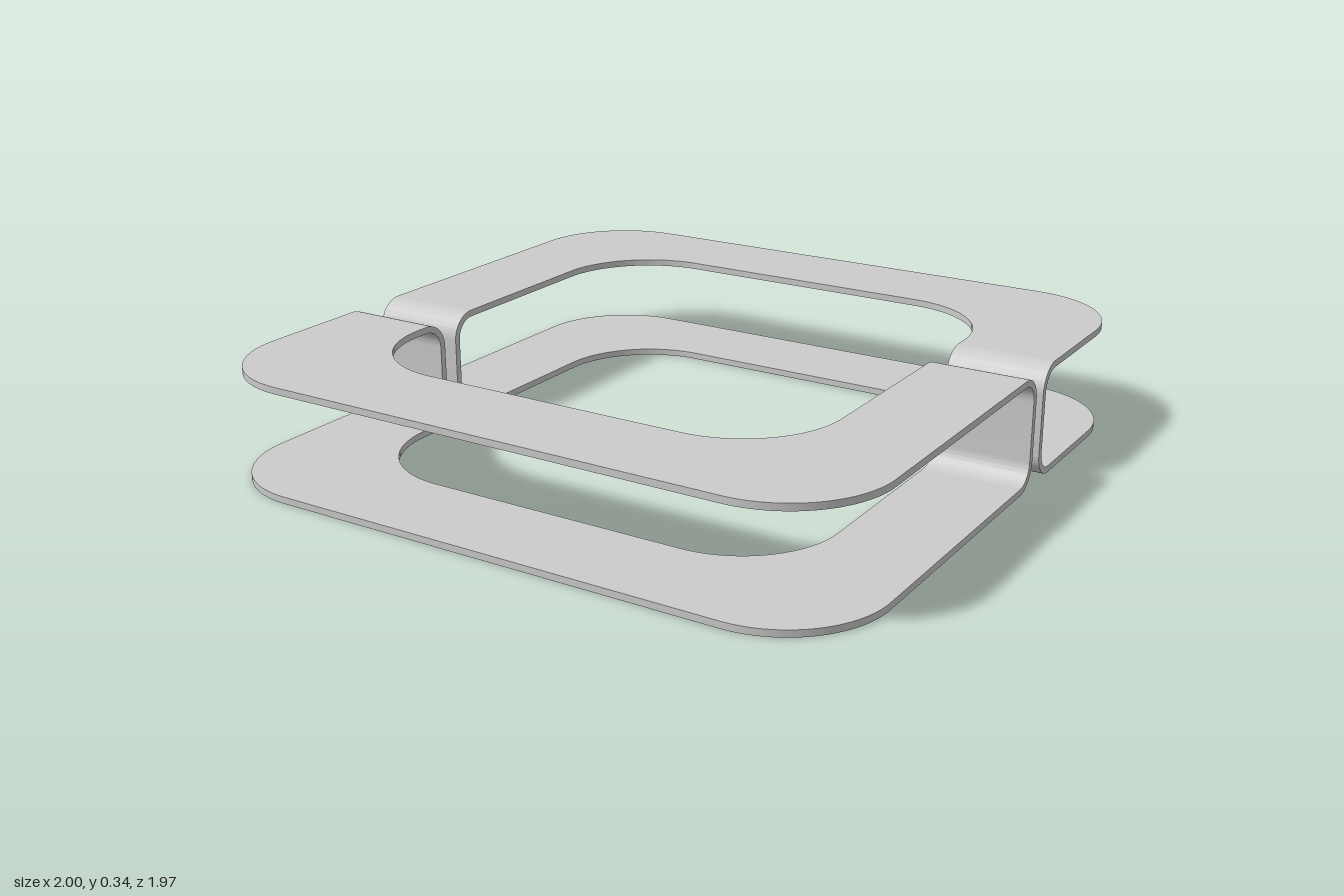
import * as THREE from 'three';
import { toCreasedNormals } from 'three/addons/utils/BufferGeometryUtils.js';

const H = 0.34, T = 0.02;            // overall height, sheet thickness
const X = 1, Z = 0.985;              // outer half sizes
const XI = 0.705, ZI = 0.69;         // inner half sizes
const R = 0.3;                       // plan corner radius
const BEND = 0.08;                   // outer bend radius of the leg ends
const LEFT_END = -0.22, RIGHT_END = 0.27; // z of the leg ends (+x leg, -x leg)

const material = new THREE.MeshStandardMaterial({ color: 0xcccccc });

// U-shaped plate outline, drawn in x and z
function plateGeometry() {
  const a = LEFT_END + BEND, b = RIGHT_END + BEND;
  const s = new THREE.Shape();
  s.moveTo(X, a);
  s.lineTo(X, Z - R);
  s.absarc(X - R, Z - R, R, 0, Math.PI / 2, false);
  s.lineTo(-X + R, Z);
  s.absarc(-X + R, Z - R, R, Math.PI / 2, Math.PI, false);
  s.lineTo(-X, b);
  s.lineTo(-XI, b);
  s.lineTo(-XI, ZI - R);
  s.absarc(-XI + R, ZI - R, R, Math.PI, Math.PI / 2, true);
  s.lineTo(XI - R, ZI);
  s.absarc(XI - R, ZI - R, R, Math.PI / 2, 0, true);
  s.lineTo(XI, a);
  const g = new THREE.ExtrudeGeometry(s, { depth: T, bevelEnabled: false, curveSegments: 24 });
  g.rotateX(Math.PI / 2);
  g.translate(0, T, 0);
  return toCreasedNormals(g, 0.6);
}

// C-shaped upright wall with bent top and bottom, profile in z and y
function wallGeometry() {
  const r = BEND - T, q = Math.PI / 2;
  const s = new THREE.Shape();
  s.moveTo(BEND, 0);
  s.lineTo(BEND, T);
  s.absarc(BEND, BEND, r, -q, -2 * q, true);
  s.lineTo(T, H - BEND);
  s.absarc(BEND, H - BEND, r, 2 * q, q, true);
  s.lineTo(BEND, H);
  s.absarc(BEND, H - BEND, BEND, q, 2 * q, false);
  s.lineTo(0, BEND);
  s.absarc(BEND, BEND, BEND, 2 * q, 3 * q, false);
  const w = X - XI;
  const g = new THREE.ExtrudeGeometry(s, { depth: w, bevelEnabled: false, curveSegments: 12 });
  g.rotateY(-Math.PI / 2);
  g.translate(w / 2, 0, 0);
  return toCreasedNormals(g, 0.6);
}

export function createModel() {
  const model = new THREE.Group();
  model.name = 'splitFrame';
  const plate = plateGeometry(), wall = wallGeometry();
  const mid = (X + XI) / 2;

  // one bent half, then the same half turned about the upright axis
  ['frontHalf', 'backHalf'].forEach((name, i) => {
    const half = new THREE.Group();
    half.name = name;
    const add = (part, geometry, x, y, z) => {
      const mesh = new THREE.Mesh(geometry, material);
      mesh.name = part;
      mesh.position.set(x, y, z);
      half.add(mesh);
    };
    add('lowerPlate', plate, 0, 0, 0);
    add('upperPlate', plate, 0, H - T, 0);
    add('longLegWall', wall, mid, 0, LEFT_END);
    add('shortLegWall', wall, -mid, 0, RIGHT_END);
    half.rotation.y = i * Math.PI;
    model.add(half);
  });
  return model;
}
